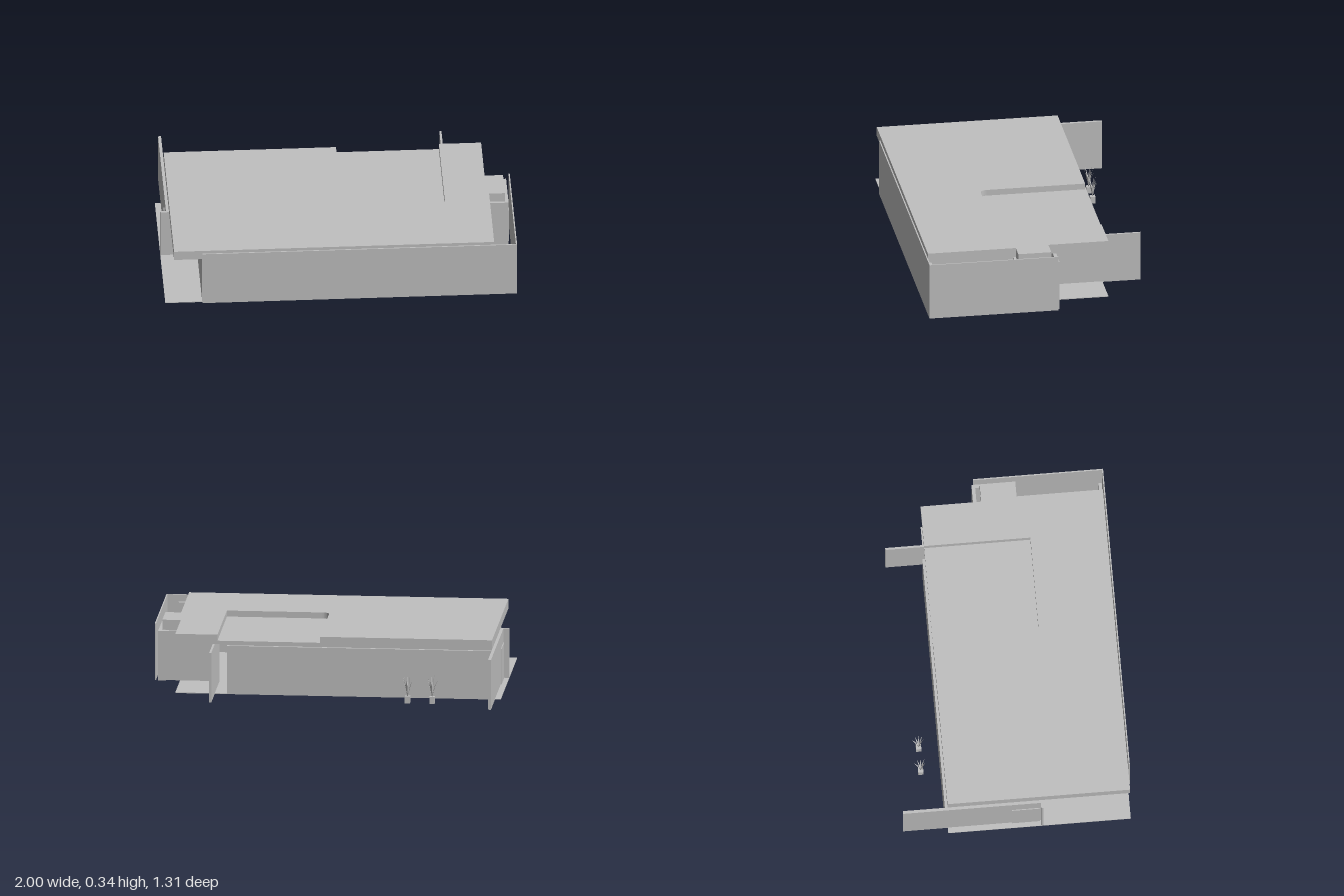
import * as THREE from 'three';

export function createModel() {
  const house = new THREE.Group();
  house.name = 'house';
  const grey = new THREE.MeshStandardMaterial({ color: 0xc0c0c0 });
  grey.name = 'plainGrey';
  const leafGrey = grey.clone();
  leafGrey.name = 'leafGrey';
  leafGrey.side = THREE.DoubleSide;

  const add = (name, geometry, parent = house, material = grey) => {
    const mesh = new THREE.Mesh(geometry, material);
    mesh.name = name;
    parent.add(mesh);
    return mesh;
  };
  // box given by its limits on each axis
  const box = (name, x0, x1, y0, y1, z0, z1, parent) => {
    const mesh = add(name, new THREE.BoxGeometry(x1 - x0, y1 - y0, z1 - z0), parent);
    mesh.position.set((x0 + x1) / 2, (y0 + y1) / 2, (z0 + z1) / 2);
    return mesh;
  };
  // horizontal slab from a plan outline; shape y stands for -z
  const slab = (name, shape, y0, y1) => {
    const geometry = new THREE.ExtrudeGeometry(shape, { depth: y1 - y0, bevelEnabled: false, curveSegments: 8 });
    geometry.rotateX(-Math.PI / 2);
    add(name, geometry).position.y = y0;
  };
  const outline = (points) => new THREE.Shape(points.map(([x, z]) => new THREE.Vector2(x, -z)));

  // floor
  slab('floor', outline([
    [-1, 0.64], [0.87, 0.64], [0.87, 0.15], [0.98, 0.15], [0.98, -0.1],
    [0.935, -0.1], [0.935, -0.08], [0.855, -0.08], [0.855, -0.4], [-1, -0.4],
  ]), 0, 0.004);

  // roof with a sunken bay open to the back
  const roof = new THREE.Shape();
  roof.moveTo(-0.95, -0.64);
  roof.lineTo(0.87, -0.64);
  roof.lineTo(0.87, -0.135);
  roof.lineTo(0.96, -0.135);
  roof.lineTo(0.96, 0.055);
  roof.lineTo(0.855, 0.055);
  roof.lineTo(0.855, 0.4);
  roof.lineTo(0.615, 0.4);
  roof.lineTo(0.615, -0.205);
  roof.lineTo(0.07, -0.205);
  roof.quadraticCurveTo(0.03, -0.205, 0.03, -0.165);
  roof.lineTo(0.03, 0.4);
  roof.lineTo(-0.95, 0.4);
  slab('roof', roof, 0.29, 0.345);
  box('sunkenRoof', 0.03, 0.615, 0.29, 0.31, -0.4, 0.205);

  // screen walls round the front left corner
  box('frontScreenWall', -0.79, 1, 0, 0.33, 0.645, 0.652);
  box('leftScreenWall', 0.993, 1, 0, 0.33, -0.09, 0.645);

  // outer walls
  box('backWall', -0.95, 0.56, 0.004, 0.285, -0.415, -0.4);
  box('frontWall', -0.79, 0.87, 0.004, 0.29, 0.62, 0.638);
  box('frontWallEnd', 0.87, 0.93, 0, 0.29, 0.62, 0.638);
  box('leftWall', 0.855, 0.87, 0.004, 0.29, 0.15, 0.62);
  box('patioWall', 0.635, 0.94, 0.004, 0.29, -0.1, -0.08);
  box('rightWingWall', -0.967, -0.95, 0, 0.29, -0.655, 0.13);
  box('leftWingWall', 0.63, 0.642, 0, 0.29, -0.62, -0.1);
  box('porchWall', -1, -0.7, 0.004, 0.292, 0.13, 0.143);
  box('porchSideWall', -0.79, -0.775, 0.004, 0.29, 0.143, 0.62);

  // side room below the roof projection
  box('sideRoomOuterWall', 0.96, 0.98, 0.004, 0.29, -0.1, 0.15);
  box('sideRoomFrontWall', 0.87, 0.96, 0.004, 0.29, 0.135, 0.15);
  box('sideRoomBackWall', 0.935, 0.96, 0.004, 0.29, -0.1, -0.08);

  // doors, porch window and handle
  box('rightDoor', -0.972, -0.967, 0.004, 0.21, -0.035, 0.125);
  box('leftDoor', 0.98, 0.985, 0.004, 0.21, -0.04, 0.11);
  box('porchWindow', -0.9, -0.73, 0.11, 0.185, 0.143, 0.147);
  box('handle', -0.918, -0.9, 0.122, 0.127, 0.143, 0.149);

  // potted plants: a cube pot with a spray of narrow leaves
  for (const x of [-0.62, -0.48]) {
    const plant = new THREE.Group();
    plant.name = 'pottedPlant';
    plant.position.set(x, 0, -0.525);
    box('pot', -0.015, 0.015, 0, 0.04, -0.015, 0.015, plant);
    for (let i = 0; i < 9; i++) {
      const lean = 0.018 + 0.006 * (i % 3);
      const leaf = new THREE.BufferGeometry().setFromPoints([
        new THREE.Vector3(0, 0.038, -0.002), new THREE.Vector3(0, 0.038, 0.002),
        new THREE.Vector3(lean * 0.55, 0.1, 0.004), new THREE.Vector3(lean * 0.55, 0.1, -0.004),
        new THREE.Vector3(lean * 1.2, 0.16 - 0.01 * (i % 3), 0),
      ]);
      leaf.setIndex([0, 2, 1, 0, 3, 2, 3, 4, 2]);
      leaf.computeVertexNormals();
      add('leaf', leaf, plant, leafGrey).rotation.y = (i / 9) * Math.PI * 2;
    }
    house.add(plant);
  }
  return house;
}
